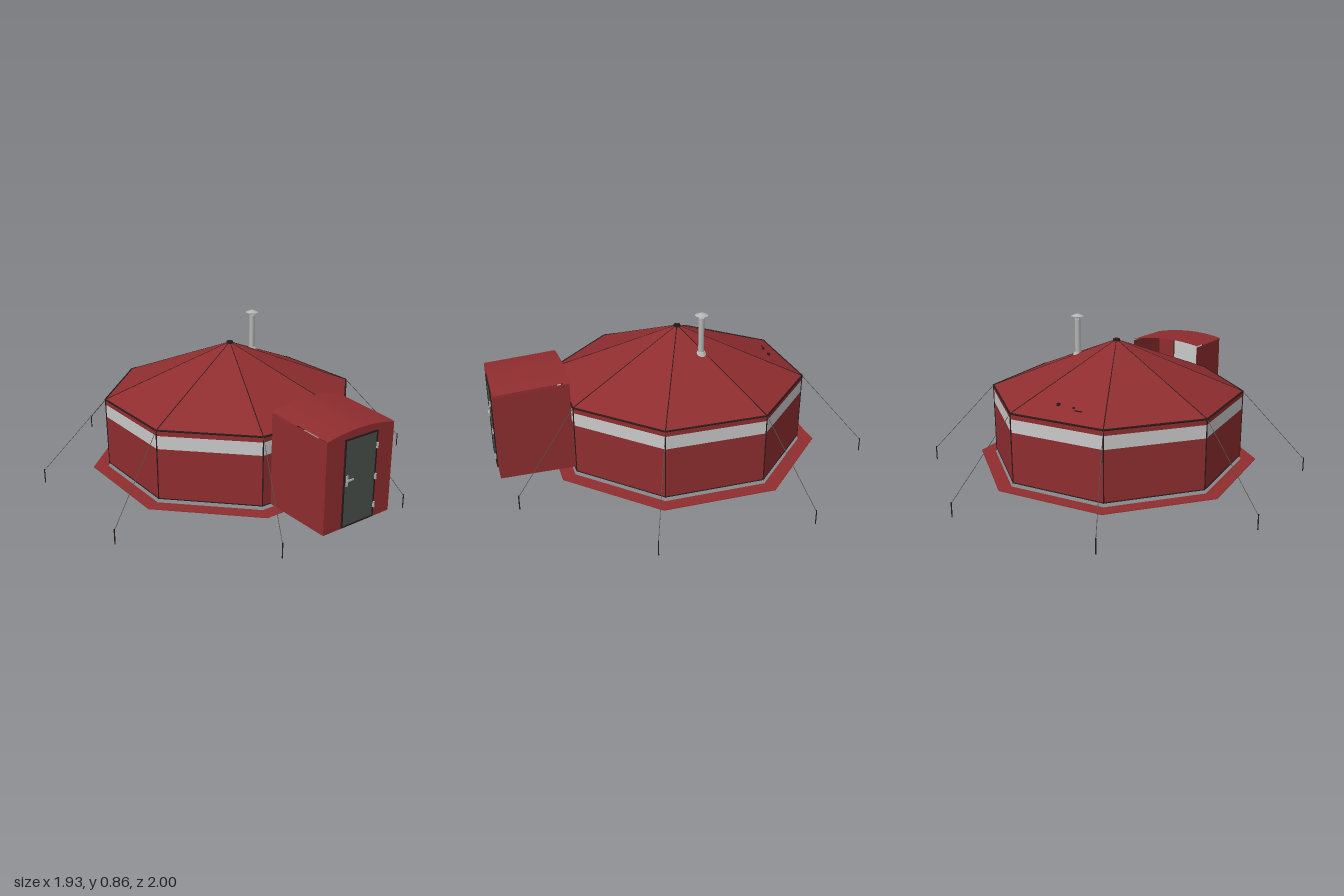
import * as THREE from 'three';

const mat = (name, color, side = THREE.FrontSide) => {
  const m = new THREE.MeshStandardMaterial({ color, side });
  m.name = name;
  return m;
};

export function createModel() {
  const red = mat('red canvas', 0x8f2d2f, THREE.DoubleSide);
  const white = mat('pale band', 0xc8c8c8, THREE.DoubleSide);
  const dark = mat('dark trim', 0x2a1a1a);
  const doorGrey = mat('door grey', 0x4b504a);
  const metal = mat('metal', 0xb4b4b2);
  const brown = mat('floor brown', 0x7a5c42);
  const cord = mat('cord', 0x55564f);

  const model = new THREE.Group();
  const tent = new THREE.Group();
  tent.name = 'tent';
  tent.position.z = -0.038;
  model.add(tent);

  const add = (parent, name, geo, material, x = 0, y = 0, z = 0) => {
    const mesh = new THREE.Mesh(geo, material);
    mesh.name = name;
    mesh.position.set(x, y, z);
    parent.add(mesh);
    return mesh;
  };
  const flat = (geo) => {
    const g = geo.toNonIndexed();
    g.computeVertexNormals();
    return g;
  };
  const box = (parent, name, w, h, d, m, x, y, z) =>
    add(parent, name, new THREE.BoxGeometry(w, h, d), m, x, y, z);
  // Thin rod between two points
  const rod = (parent, name, a, b, r, m) => {
    const dir = b.clone().sub(a);
    const mesh = add(parent, name, new THREE.CylinderGeometry(r, r, dir.length(), 6), m);
    mesh.position.copy(a).add(b).multiplyScalar(0.5);
    mesh.quaternion.setFromUnitVectors(new THREE.Vector3(0, 1, 0), dir.normalize());
    return mesh;
  };

  // Octagon with a flat side facing the front
  const APO = 0.635, TURN = Math.PI / 8, BASE = 0.08, EAVE = 0.455, APEX = 0.73;
  const radius = (apothem) => apothem / Math.cos(TURN);
  const corner = (i, apothem, y) => {
    const a = TURN + i * Math.PI / 4, r = radius(apothem);
    return new THREE.Vector3(Math.sin(a) * r, y, Math.cos(a) * r);
  };
  const octagon = (apothem, Type) =>
    new Type(Array.from({ length: 8 }, (_, i) => {
      const p = corner(i, apothem, 0);
      return new THREE.Vector2(p.x, p.z);
    }));
  const ring = (name, y0, y1, m) =>
    add(tent, name, flat(new THREE.CylinderGeometry(radius(APO), radius(APO), y1 - y0, 8, 1, true, TURN)),
      m, 0, (y0 + y1) / 2, 0);

  // Walls, floor and roof
  ring('lowerWall', BASE, 0.355, red);
  ring('wallBand', 0.355, 0.425, white);
  ring('upperWall', 0.425, EAVE, red);
  add(tent, 'floor', flat(new THREE.CylinderGeometry(radius(APO - 0.003), radius(APO - 0.003), 0.004, 8, 1, false, TURN)),
    brown, 0, BASE + 0.002, 0);
  add(tent, 'roof', flat(new THREE.CylinderGeometry(0.004, radius(APO + 0.002), APEX - EAVE, 8, 1, true, TURN)),
    red, 0, (APEX + EAVE) / 2, 0);
  add(tent, 'roofCap', new THREE.CylinderGeometry(0.018, 0.02, 0.014, 12), dark, 0, APEX - 0.002, 0);

  // Ground skirt, separated from the wall by a narrow gap
  const skirt = octagon(0.716, THREE.Shape);
  skirt.holes.push(octagon(APO + 0.009, THREE.Path));
  const skirtGeo = new THREE.ExtrudeGeometry(skirt, { depth: 0.003, bevelEnabled: false });
  skirtGeo.rotateX(-Math.PI / 2);
  add(tent, 'groundSkirt', skirtGeo, red, 0, 0.062, 0);

  // Seams, guy ropes and stakes at each corner
  const stakes = [[0.4, 0.92], [0.96, 0.36], [0.96, -0.44], [0.4, -0.997]];
  for (let i = 0; i < 8; i++) {
    const eave = corner(i, APO + 0.002, EAVE);
    const next = corner(i + 1, APO + 0.002, EAVE);
    rod(tent, 'roofSeam', eave, new THREE.Vector3(0, APEX, 0), 0.0025, dark);
    rod(tent, 'eaveTrim', eave, next, 0.005, dark);
    rod(tent, 'cornerSeam', corner(i, APO, BASE), eave, 0.003, dark);
    rod(tent, 'baseTrim', corner(i, APO, BASE + 0.003), corner(i + 1, APO, BASE + 0.003), 0.003, dark);
    const [sx, sz] = i < 4 ? stakes[i] : stakes[7 - i];
    const x = i < 4 ? sx : -sx;
    const z = sz + 0.038;
    rod(tent, 'guyRope', eave, new THREE.Vector3(x, 0.072, z), 0.0016, cord);
    rod(tent, 'stake', new THREE.Vector3(x, 0, z), new THREE.Vector3(x, 0.08, z), 0.003, dark);
  }

  // Stove pipe
  const pipe = new THREE.Group();
  pipe.name = 'stovePipe';
  pipe.position.set(0.203, 0, -0.105);
  model.add(pipe);
  add(pipe, 'pipeBase', new THREE.CylinderGeometry(0.02, 0.032, 0.022, 16), metal, 0, 0.64, 0);
  add(pipe, 'pipe', new THREE.CylinderGeometry(0.015, 0.015, 0.215, 16), metal, 0, 0.728, 0);
  add(pipe, 'pipeCap', new THREE.CylinderGeometry(0.008, 0.035, 0.012, 16), metal, 0, 0.858, 0);
  for (const s of [-1, 1]) box(pipe, 'capStrut', 0.002, 0.024, 0.002, metal, s * 0.013, 0.844, 0);

  // Small fittings on the rear roof panel
  box(model, 'roofFitting', 0.014, 0.014, 0.014, dark, 0.045, 0.506, -0.57);
  box(model, 'roofFitting', 0.04, 0.005, 0.005, dark, -0.08, 0.495, -0.59);
  box(model, 'roofFitting', 0.01, 0.008, 0.008, dark, -0.045, 0.502, -0.575);

  // Entrance porch, open at the rear and below
  const porch = new THREE.Group();
  porch.name = 'porch';
  model.add(porch);
  const HALF = 0.213, FRONT = 0.985, BACK = 0.6, RISE = 0.024;
  const edgeY = (z) => 0.552 + 0.025 * (FRONT - z) / (FRONT - BACK);
  const arch = (x) => RISE * (1 - (x / HALF) ** 2);

  // Arched roof
  const roof = new THREE.PlaneGeometry(HALF * 2, FRONT - BACK, 14, 1);
  roof.rotateX(-Math.PI / 2);
  roof.translate(0, 0, (FRONT + BACK) / 2);
  const p = roof.attributes.position;
  for (let i = 0; i < p.count; i++) p.setY(i, edgeY(p.getZ(i)) + arch(p.getX(i)));
  roof.computeVertexNormals();
  add(porch, 'porchRoof', roof, red);

  // Side walls with sloping tops
  const side = new THREE.Shape([
    [-FRONT, BASE], [-BACK, BASE], [-BACK, edgeY(BACK) - 0.008], [-FRONT, edgeY(FRONT) - 0.008],
  ].map(([x, y]) => new THREE.Vector2(x, y)));
  const sideGeo = new THREE.ExtrudeGeometry(side, { depth: 0.003, bevelEnabled: false });
  sideGeo.rotateY(Math.PI / 2);
  for (const x of [-HALF, HALF - 0.003]) add(porch, 'porchSide', sideGeo, red, x);

  // Front wall with doorway
  const DW = 0.103, D0 = 0.085, D1 = 0.535;
  const front = new THREE.Shape();
  front.moveTo(-HALF, BASE).lineTo(HALF, BASE);
  for (let i = 0; i <= 14; i++) {
    const x = HALF * (1 - i / 7);
    front.lineTo(x, edgeY(FRONT) + arch(x) - 0.003);
  }
  front.holes.push(new THREE.Path().moveTo(-DW, D0).lineTo(-DW, D1).lineTo(DW, D1).lineTo(DW, D0));
  add(porch, 'porchFront', new THREE.ExtrudeGeometry(front, { depth: 0.004, bevelEnabled: false }),
    red, 0, 0, FRONT - 0.004);

  // Door, frame and fittings
  const mid = (D0 + D1) / 2, H = D1 - D0;
  box(porch, 'door', 2 * DW - 0.012, H - 0.012, 0.008, doorGrey, 0, mid, FRONT - 0.001);
  box(porch, 'doorInside', 2 * DW - 0.012, H - 0.012, 0.004, white, 0, mid, FRONT - 0.008);
  for (const s of [-1, 1]) {
    box(porch, 'doorFrame', 0.007, H, 0.014, dark, s * (DW - 0.003), mid, FRONT - 0.001);
    box(porch, 'doorFrame', 2 * DW, 0.007, 0.014, dark, 0, mid + s * (H / 2 - 0.003), FRONT - 0.001);
  }
  box(porch, 'handlePlate', 0.012, 0.055, 0.004, metal, -0.082, 0.325, FRONT + 0.005);
  box(porch, 'handle', 0.04, 0.008, 0.006, metal, -0.067, 0.328, FRONT + 0.011);
  for (const y of [0.15, 0.3, 0.46]) box(porch, 'hinge', 0.008, 0.03, 0.008, metal, 0.1, y, FRONT + 0.009);

  return model;
}
